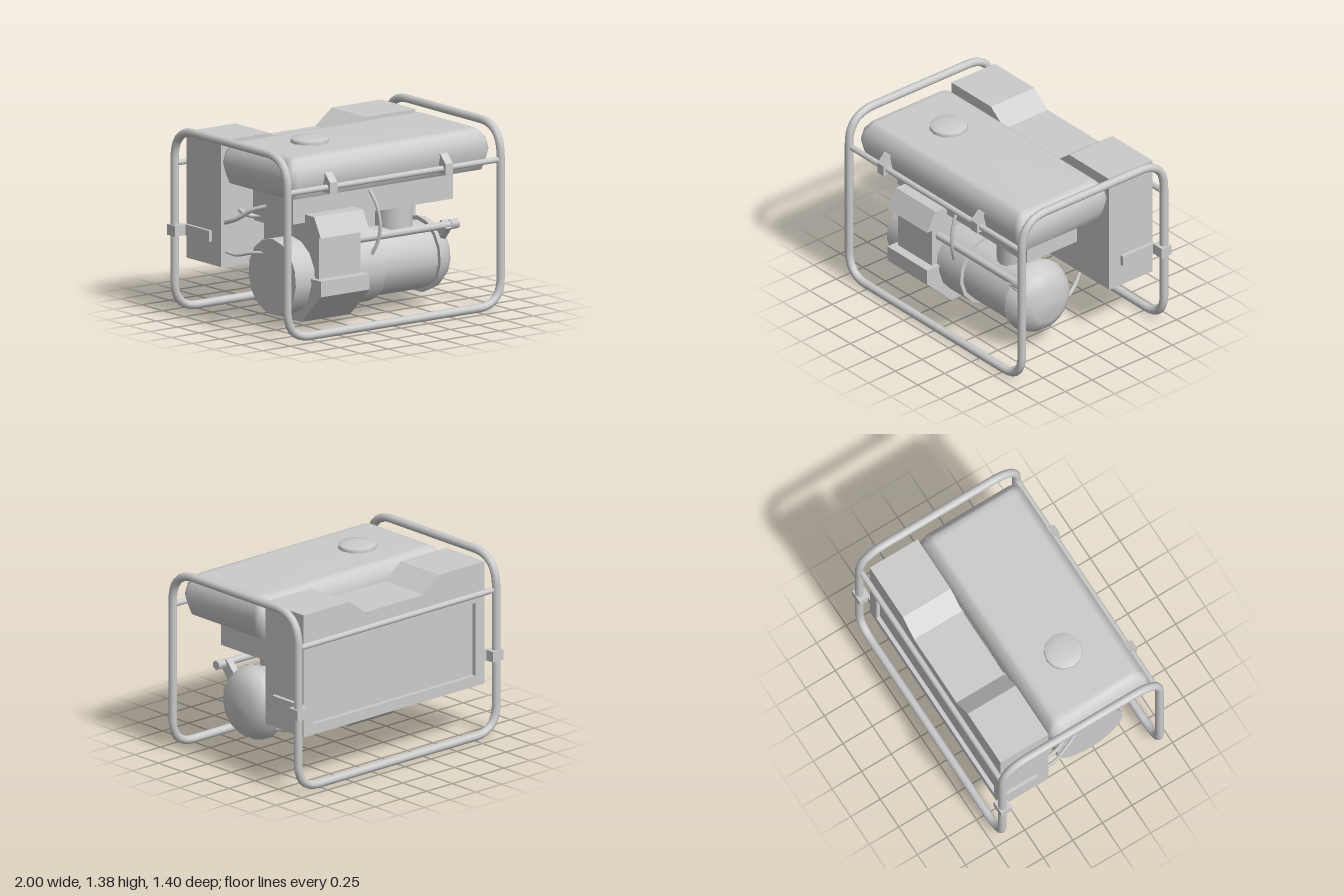
import * as THREE from 'three';

const V = (x, y, z) => new THREE.Vector3(x, y, z);
const material = new THREE.MeshStandardMaterial({ color: 0xcccccc });

// Line path with rounded corners; each corner is [x, y, z, radius]
function roundedLoop(corners) {
  const path = new THREE.CurvePath();
  const n = corners.length;
  const ends = corners.map(([x, y, z, r], i) => {
    const p = V(x, y, z);
    const toward = (q) => p.clone().add(V(q[0], q[1], q[2]).sub(p).setLength(r));
    return { p, a: toward(corners[(i + n - 1) % n]), b: toward(corners[(i + 1) % n]) };
  });
  ends.forEach((e, i) => {
    path.add(new THREE.QuadraticBezierCurve3(e.a, e.p.clone().lerp(e.a.clone().lerp(e.b, 0.5), 0.1), e.b));
    path.add(new THREE.LineCurve3(e.b, ends[(i + 1) % n].a));
  });
  return path;
}

// Prism from a [z, y] profile, running along x
function prismX(profile, x0, x1) {
  const shape = new THREE.Shape(profile.map(([z, y]) => new THREE.Vector2(-z, y)));
  return new THREE.ExtrudeGeometry(shape, { depth: x1 - x0, bevelEnabled: false })
    .rotateY(Math.PI / 2).translate(x0, 0, 0);
}

// Cylinder along x with a vertex at its top
function cylinderX(r, x0, x1, y, z, sides) {
  return new THREE.CylinderGeometry(r, r, x1 - x0, sides)
    .rotateZ(-Math.PI / 2).rotateX(-Math.PI / 2).translate((x0 + x1) / 2, y, z);
}

function boxBetween(x0, x1, y0, y1, z0, z1) {
  return new THREE.BoxGeometry(x1 - x0, y1 - y0, z1 - z0)
    .translate((x0 + x1) / 2, (y0 + y1) / 2, (z0 + z1) / 2);
}

// Tank skin: rounded rectangles stacked by height, [y, inset, corner radius]
function tankGeometry(x0, x1, z0, z1, layers) {
  const pos = [], index = [], steps = 3, n = 4 * (steps + 1);
  const cx = (x0 + x1) / 2, cz = (z0 + z1) / 2;
  for (const [y, inset, r] of layers) {
    const hx = (x1 - x0) / 2 - inset - r, hz = (z1 - z0) / 2 - inset - r;
    for (let c = 0; c < 4; c++) {
      for (let s = 0; s <= steps; s++) {
        const a = (c + s / steps) * Math.PI / 2;
        const sx = c === 0 || c === 3 ? 1 : -1, sz = c < 2 ? -1 : 1;
        pos.push(cx + sx * hx + r * Math.cos(a), y, cz + sz * hz - r * Math.sin(a));
      }
    }
  }
  const top = layers.length - 1, bottomCentre = layers.length * n, topCentre = bottomCentre + 1;
  pos.push(cx, layers[0][0], cz, cx, layers[top][0], cz);
  for (let i = 0; i < n; i++) {
    const j = (i + 1) % n;
    for (let k = 0; k < top; k++) {
      const a = k * n, b = a + n;
      index.push(a + i, a + j, b + j, a + i, b + j, b + i);
    }
    index.push(bottomCentre, j, i, topCentre, top * n + i, top * n + j);
  }
  const g = new THREE.BufferGeometry();
  g.setAttribute('position', new THREE.Float32BufferAttribute(pos, 3));
  g.setIndex(index);
  g.computeVertexNormals();
  return g;
}

// Cabinet outline in x, y with the lowered middle of its top
function cabinetShape() {
  return new THREE.Shape([
    [-0.88, 0.4], [0.875, 0.4], [0.875, 1.325], [0.43, 1.325],
    [0.28, 1.21], [-0.29, 1.21], [-0.44, 1.325], [-0.88, 1.325],
  ].map(([x, y]) => new THREE.Vector2(x, y)));
}

export function createModel() {
  const model = new THREE.Group();
  const add = (name, geometry) => {
    const mesh = new THREE.Mesh(geometry, material);
    mesh.name = name;
    model.add(mesh);
    return mesh;
  };

  // Tubular carrying frame: one closed loop through both hoops and both base bars
  const fx = 0.96, fz = 0.665, low = 0.035, high = 1.355;
  const loop = roundedLoop([
    [-fx, low, fz, 0.18], [fx, low, fz, 0.18], [fx, high, fz, 0.21], [fx, high, -fz, 0.21],
    [fx, low, -fz, 0.18], [-fx, low, -fz, 0.18], [-fx, high, -fz, 0.21], [-fx, high, fz, 0.21],
  ]);
  add('frame', new THREE.TubeGeometry(loop, 260, 0.031, 10, true));
  add('frontCrossbar', cylinderX(0.022, -0.95, 0.95, 1.1, 0.66, 10));
  add('backCrossbar', cylinderX(0.022, -0.95, 0.95, 1.1, -0.655, 10));

  // Clips that hold the tank to the front crossbar
  for (const x of [-0.57, 0.47]) {
    add('tankClip', prismX([[0.7, 1.06], [0.7, 1.14], [0.635, 1.205], [0.61, 1.205], [0.61, 1.06]], x - 0.033, x + 0.033));
  }

  // Fuel tank and filler cap
  add('fuelTank', tankGeometry(-0.91, 0.91, -0.21, 0.635, [
    [1.03, 0.055, 0.04], [1.03, 0.04, 0.05], [1.1, 0.018, 0.06], [1.18, 0, 0.07],
    [1.26, 0.018, 0.06], [1.31, 0.055, 0.05], [1.328, 0.08, 0.04], [1.33, 0.12, 0.03],
  ]));
  add('fuelCap', new THREE.LatheGeometry(
    [[0.14, 1.32], [0.14, 1.345], [0.135, 1.362], [0.07, 1.37], [0, 1.372]].map(([r, y]) => new THREE.Vector2(r, y)), 12,
  ).translate(-0.405, 0, 0.2));

  // Control cabinet with a recessed panel in its back
  const backSkin = cabinetShape();
  backSkin.holes.push(new THREE.Path(
    [[-0.79, 0.48], [-0.79, 1.03], [0.785, 1.03], [0.785, 0.48]].map(([x, y]) => new THREE.Vector2(x, y)),
  ));
  add('cabinet', new THREE.ExtrudeGeometry(cabinetShape(), { depth: 0.375, bevelEnabled: false }).translate(0, 0, -0.6));
  add('cabinetPanelSurround', new THREE.ExtrudeGeometry(backSkin, { depth: 0.03, bevelEnabled: false }).translate(0, 0, -0.63));

  // Clamps joining the cabinet to the back posts
  for (const s of [-1, 1]) {
    const sides = (a, b) => (s > 0 ? [a, b] : [-b, -a]);
    add('clampPlate', boxBetween(...sides(0.87, 0.905), 0.57, 0.65, -0.63, -0.33));
    add('clampBlock', boxBetween(...sides(0.9, 1), 0.57, 0.65, -0.7, -0.61));
  }

  // Air box under the tank and the duct down to the engine
  add('airBox', boxBetween(-0.72, 0.72, 0.8, 1.04, -0.055, 0.415));
  add('intakeDuct', new THREE.CylinderGeometry(0.135, 0.135, 0.3, 16).translate(0.345, 0.66, 0.21));

  // Engine and alternator bodies on one axis
  const ey = 0.385, ez = 0.21;
  add('engineDrum', cylinderX(0.28, -0.75, 0.065, ey, ez, 15));
  add('alternatorBody', cylinderX(0.25, 0.05, 0.57, ey, ez, 15));
  add('endFlange', cylinderX(0.28, 0.555, 0.565, ey, ez, 15));
  add('endDome', new THREE.LatheGeometry(
    [[0.28, 0.56], [0.262, 0.63], [0.225, 0.685], [0.145, 0.735], [0, 0.742]].map(([r, x]) => new THREE.Vector2(r, x)), 15,
  ).rotateZ(-Math.PI / 2).rotateX(-Math.PI / 2).translate(0, ey, ez));

  // Engine housing: lower sump, middle block, top cover
  add('sump', prismX([[0.6, 0.4], [0.6, 0.285], [0.37, 0.065], [0.05, 0.065], [-0.185, 0.285], [-0.185, 0.4]], -0.61, -0.17));
  add('engineBlock', boxBetween(-0.575, -0.2, 0.39, 0.72, -0.115, 0.53));
  add('topCover', prismX([[0.6, 0.715], [0.52, 0.86], [-0.185, 0.86], [-0.185, 0.715]], -0.61, -0.17));

  // Exhaust pipe with its end collar and bracket
  add('exhaustPipe', cylinderX(0.029, -0.22, 0.715, 0.63, 0.467, 8));
  add('exhaustCollar', cylinderX(0.037, 0.65, 0.72, 0.63, 0.467, 6));
  add('exhaustBracket', prismX([[0.5, 0.61], [0.44, 0.668], [0.355, 0.575], [0.415, 0.51]], 0.595, 0.648));

  // Hoses and cables
  const hose = (name, radius, points) => add(name, new THREE.TubeGeometry(
    new THREE.CatmullRomCurve3(points.map((p) => V(...p))), 16, radius, 6));
  hose('fuelLine', 0.013, [[-0.03, 0.97, 0.41], [-0.01, 0.86, 0.475], [-0.005, 0.7, 0.51], [-0.015, 0.59, 0.49], [-0.04, 0.5, 0.455]]);
  hose('alternatorCable', 0.017, [[0.58, 0.24, 0], [0.56, 0.25, -0.1], [0.53, 0.305, -0.2], [0.5, 0.42, -0.285]]);
  hose('upperCable', 0.017, [[-0.71, 0.88, 0.1], [-0.78, 0.84, 0], [-0.83, 0.77, -0.1], [-0.84, 0.72, -0.23]]);
  hose('middleCable', 0.017, [[-0.58, 0.76, -0.1], [-0.66, 0.76, -0.16], [-0.71, 0.785, -0.18], [-0.71, 0.8, -0.23]]);
  hose('lowerCable', 0.013, [[-0.74, 0.54, 0.1], [-0.78, 0.53, 0], [-0.82, 0.5, -0.12], [-0.83, 0.505, -0.23]]);

  return model;
}
